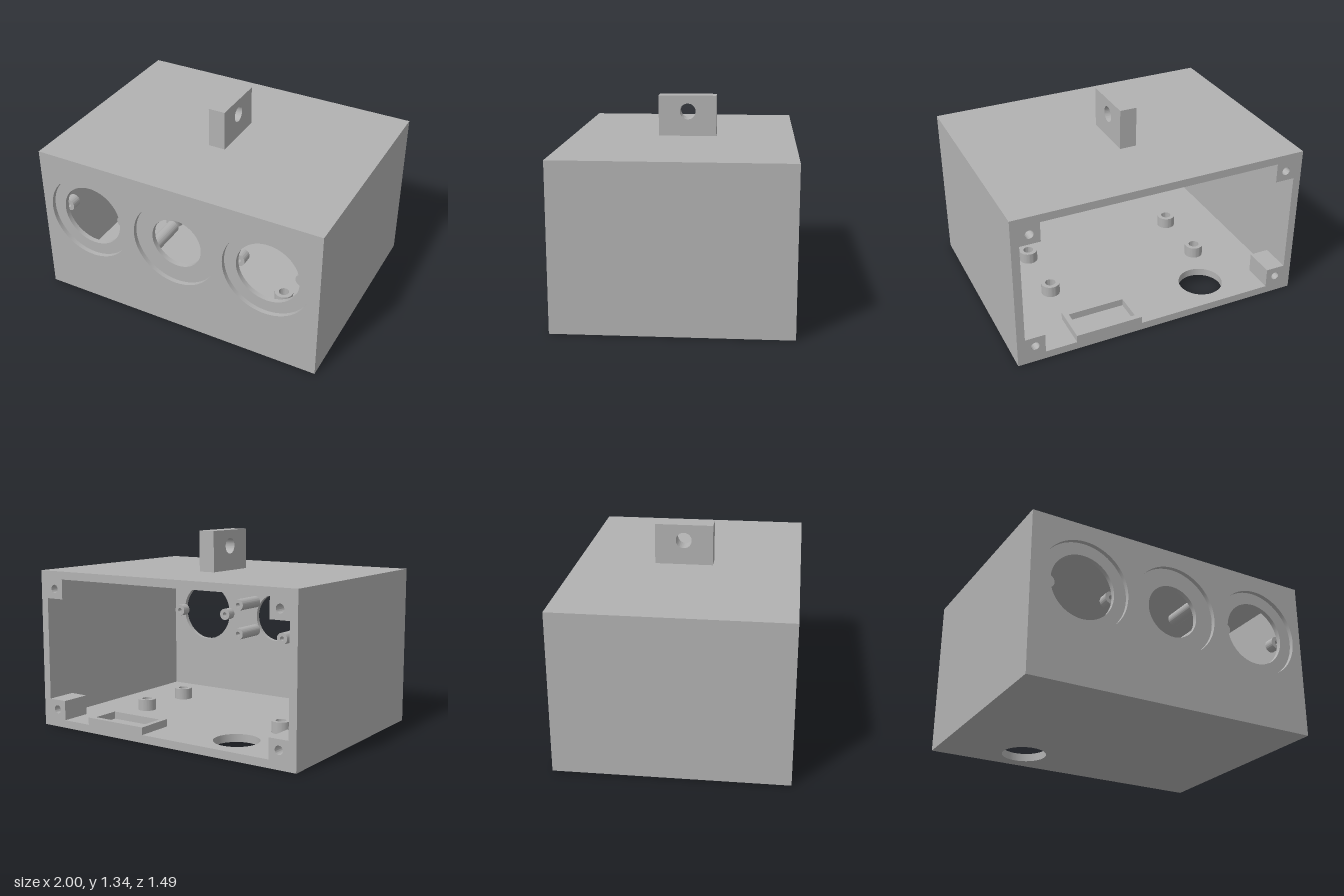
import * as THREE from 'three';
import { toCreasedNormals } from 'three/addons/utils/BufferGeometryUtils.js';

const W = 1, D = 0.745, H = 1.07, WALL = 0.053, FRONT = 0.063, RECESS = 0.03;
const EYE_Y = 0.655;

export function createModel() {
  const model = new THREE.Group();
  const casing = new THREE.MeshStandardMaterial({ color: 0xb2b2b2 });
  casing.name = 'casing grey';

  const rect = (x0, y0, x1, y1) => new THREE.Shape([
    new THREE.Vector2(x0, y0), new THREE.Vector2(x1, y0),
    new THREE.Vector2(x1, y1), new THREE.Vector2(x0, y1)]);
  const disc = (x, y, r) => new THREE.Shape().absarc(x, y, r, 0, Math.PI * 2, false);
  const cut = (shape, ...holes) => { shape.holes.push(...holes); return shape; };

  // Extrudes a profile by depth along z, then places and turns it
  function add(name, shape, depth, pos = [0, 0, 0], rot = [0, 0, 0]) {
    const geo = new THREE.ExtrudeGeometry(shape, { depth, bevelEnabled: false, curveSegments: 48 });
    const mesh = new THREE.Mesh(toCreasedNormals(geo, 0.5), casing);
    mesh.name = name;
    mesh.position.set(...pos);
    mesh.rotation.set(...rot);
    model.add(mesh);
  }
  const UP = [-Math.PI / 2, 0, 0]; // profile y becomes -z, extrusion becomes +y

  // Roof and side walls in one section, open at the back
  const hood = new THREE.Shape([
    [-W, WALL], [-W + WALL, WALL], [-W + WALL, H - WALL], [W - WALL, H - WALL],
    [W - WALL, WALL], [W, WALL], [W, H], [-W, H]].map(p => new THREE.Vector2(...p)));
  add('roofAndSides', hood, 2 * D - FRONT, [0, 0, -D]);

  // Floor with the round cable opening
  add('floor', cut(rect(-W, -D + FRONT, W, D), disc(-0.43, 0.506, 0.15)), WALL, [0, 0, 0], UP);

  // Front wall: inner layer with openings, outer layer with wider recesses
  const eyes = [[-0.64, 0.215], [0, 0.177], [0.64, 0.215]];
  add('frontWallInner', cut(rect(-W, 0, W, H), ...eyes.map(([x, r]) => disc(x, EYE_Y, r))),
    FRONT - RECESS, [0, 0, D - FRONT]);
  add('frontWallOuter', cut(rect(-W, 0, W, H), ...eyes.map(([x]) => disc(x, EYE_Y, 0.298))),
    RECESS, [0, 0, D - RECESS]);

  // Hollow screw posts behind the front wall
  const post = (name, x, y, len) =>
    add(name, cut(disc(x, y, 0.043), disc(x, y, 0.017)), len, [0, 0, D - FRONT - len]);
  for (const s of [-1, 1]) {
    for (const t of [-1, 1]) {
      post('sideOpeningPost', s * 0.64 + t * 0.215, EYE_Y, 0.07);
      post('centreOpeningPost', s * 0.19, EYE_Y + t * 0.108, 0.24);
    }
  }

  // Corner blocks with screw holes for the missing rear cover
  for (const s of [-1, 1]) {
    for (const [y0, y1, hy] of [[WALL, 0.187, 0.12], [H - 0.187, H - WALL, H - 0.12]]) {
      const [x0, x1] = s < 0 ? [-W + WALL, -W + 0.187] : [W - 0.187, W - WALL];
      add('cornerBlock', cut(rect(x0, y0, x1, y1), disc(s * (W - 0.118), hy, 0.028)), 0.21, [0, 0, -D]);
    }
  }

  // Standoffs on the floor
  for (const x of [-0.557, 0.557]) {
    for (const z of [-0.177, 0.255]) {
      add('standoff', cut(disc(0, 0, 0.063), disc(0, 0, 0.035)), 0.078, [x, WALL, z], UP);
    }
  }

  // Rectangular holder frame on the floor at the rear edge
  add('holderFrame', cut(rect(0.14, 0.485, 0.6, D), rect(0.176, 0.521, 0.564, D - 0.036)),
    0.05, [0, WALL, 0], UP);

  // Hanging tab on the roof, pierced sideways
  add('hangingTab', cut(rect(-0.165, H, 0.222, 1.342), disc(0.03, 1.235, 0.053)),
    0.114, [-0.058, 0, 0], [0, Math.PI / 2, 0]);

  return model;
}
